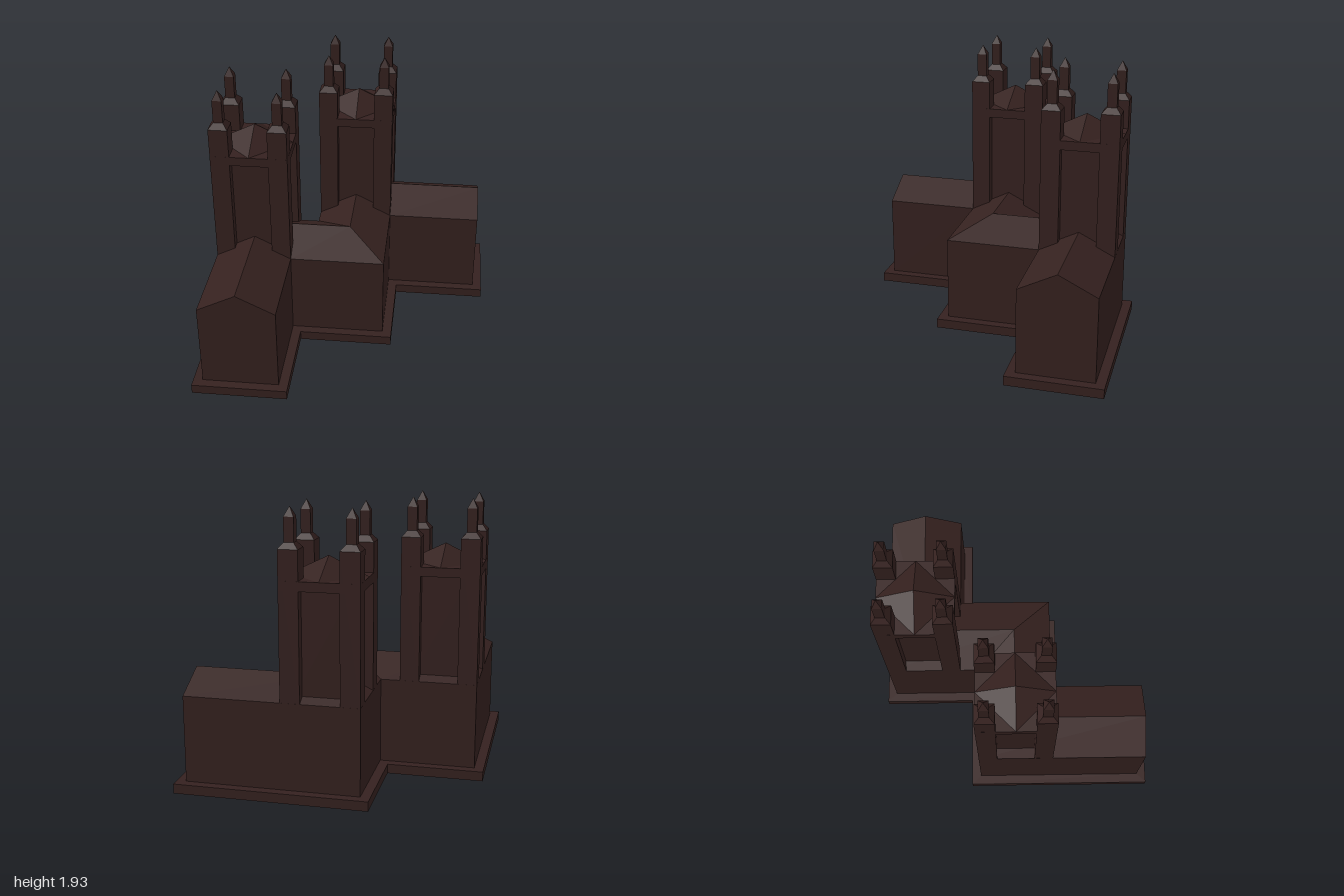
import * as THREE from 'three';

const HALF = 0.267;    // half width of halls and towers
const EAVE = 0.667;    // height of the eaves

const material = new THREE.MeshStandardMaterial({
  color: 0x35211f, flatShading: true, side: THREE.DoubleSide,
});

function add(parent, name, geometry, x = 0, y = 0, z = 0) {
  const mesh = new THREE.Mesh(geometry, material);
  mesh.name = name;
  mesh.position.set(x, y, z);
  parent.add(mesh);
  return mesh;
}

// Hollow shell: a gabled cross-section with plinth, mitred along a zigzag centreline
function hallGeometry() {
  const path = [[-0.667, 0.933], [-0.667, 0], [0, 0], [0, -0.667], [0.933, -0.667]];
  const side = [[0.333, 0], [0.333, 0.067], [HALF, 0.067], [HALF, EAVE]];
  const section = [...side, [0, 0.8], ...side.map(([o, y]) => [-o, y]).reverse()];
  const dirs = path.slice(1).map(([x, z], i) => {
    const dx = x - path[i][0], dz = z - path[i][1], l = Math.hypot(dx, dz);
    return [dx / l, dz / l];
  });
  const last = path.length - 1;

  const rows = path.map(([x, z], s) => section.map(([o, y]) => {
    const [ax, az] = dirs[Math.max(s - 1, 0)];
    const [bx, bz] = dirs[Math.min(s, last - 1)];
    if (s > 0 && s < last) return [x - o * (az + bz), y, z + o * (ax + bx)];
    // the plinth also projects beyond the gable ends
    const ext = Math.max(0, Math.abs(o) - HALF) * (s === 0 ? -1 : 1);
    return [x - o * az + ext * ax, y, z + o * ax + ext * az];
  }));

  const pos = [];
  const quad = (a, b, c, d) => pos.push(...a, ...b, ...c, ...a, ...c, ...d);
  const n = section.length - 1;
  for (let s = 0; s < last; s++)
    for (let i = 0; i < n; i++)
      quad(rows[s][i], rows[s + 1][i], rows[s + 1][i + 1], rows[s][i + 1]);
  // gable ends
  const first = rows[0], end = rows[last];
  for (let i = 0; i < n / 2; i++) {
    quad(first[n - i], first[i], first[i + 1], first[n - i - 1]);
    quad(end[i], end[n - i], end[n - i - 1], end[i + 1]);
  }
  const g = new THREE.BufferGeometry();
  g.setAttribute('position', new THREE.Float32BufferAttribute(pos, 3));
  g.computeVertexNormals();
  return g;
}

// Square pier with shoulder, pinnacle shaft and pointed tip
function pierGeometry() {
  const profile = [[0.0667, EAVE], [0.0667, 1.67], [0.033, 1.71], [0.033, 1.87], [0, 1.935]];
  return new THREE.LatheGeometry(
    profile.map(([h, y]) => new THREE.Vector2(h * Math.SQRT2, y)), 4, Math.PI / 4);
}

function tower(x, z) {
  const g = new THREE.Group();
  g.name = 'tower';
  g.position.set(x, 0, z);
  // recessed walls between the piers
  add(g, 'towerCore', new THREE.BoxGeometry(0.4, 1.41 - EAVE, 0.4), 0, (1.41 + EAVE) / 2, 0);
  add(g, 'towerCornice', new THREE.BoxGeometry(2 * HALF, 0.064, 2 * HALF), 0, 1.438, 0);
  add(g, 'towerRoof', new THREE.ConeGeometry(HALF, 0.13, 4), 0, 1.535, 0);
  for (const sx of [-1, 1])
    for (const sz of [-1, 1])
      add(g, 'cornerPier', pierGeometry(), sx * 0.2, 0, sz * 0.2);
  return g;
}

export function createModel() {
  const model = new THREE.Group();
  model.name = 'zigzagHallWithTowers';
  add(model, 'hall', hallGeometry());
  model.add(tower(-0.667, 0), tower(0, -0.667));
  return model;
}
